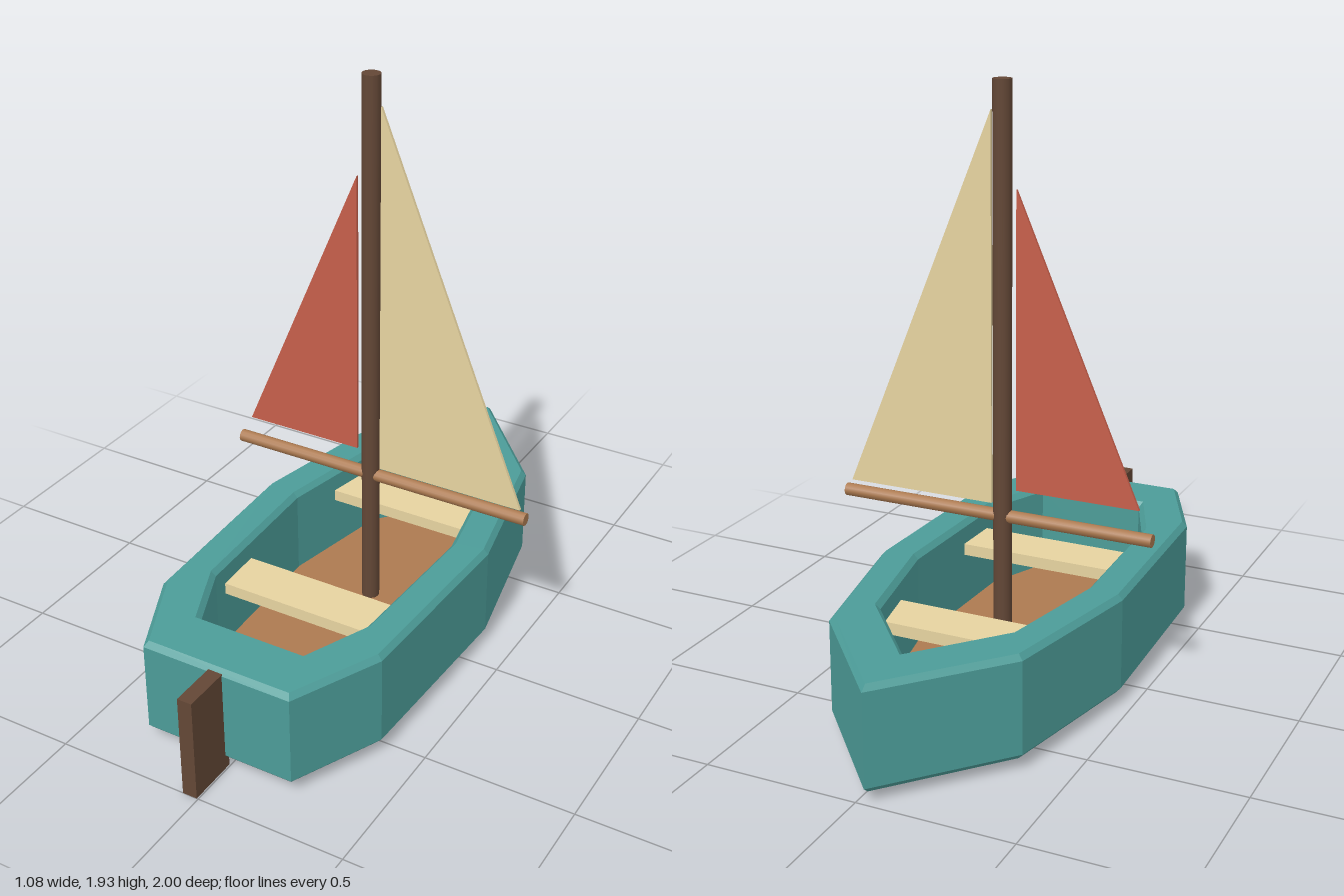
import * as THREE from 'three';

const CX = -0.03; // centreline of the boat
const MAST_Z = -0.09;

const paint = (color, flatShading = true) => new THREE.MeshStandardMaterial({ color, flatShading });
const teal = paint(0x4c9c98);
const wood = paint(0xac7a50);
const darkWood = paint(0x634736);
const cream = paint(0xe6d3a0);
const red = paint(0xc65f4b);
const roundWood = paint(0xac7a50, false);
const roundDarkWood = paint(0x634736, false);

// Mirrored outline from [halfWidth, z] points, bow first, stern last, counter-clockwise
function outline(half, Type = THREE.Shape) {
  const left = half.map(([w, z]) => new THREE.Vector2(-w, -z));
  const right = half.slice(1).reverse().map(([w, z]) => new THREE.Vector2(w, -z));
  return new Type([...left, ...right]);
}

export function createModel() {
  const boat = new THREE.Group();
  boat.name = 'sailboat';

  function add(name, geometry, material, x, y, z) {
    const mesh = new THREE.Mesh(geometry, material);
    mesh.name = name;
    mesh.position.set(x, y, z);
    boat.add(mesh);
  }

  // Hull: bevelled ring around an open well
  const outer = [[0, -0.979], [0.306, -0.628], [0.41, -0.12], [0.385, 0.54], [0.25, 0.828]];
  const inner = [[0, -0.78], [0.236, -0.505], [0.316, -0.105], [0.295, 0.43], [0.196, 0.66]];
  const hullShape = outline(outer);
  hullShape.holes.push(outline(inner, THREE.Path));
  const hull = new THREE.ExtrudeGeometry(hullShape, {
    depth: 0.3, bevelEnabled: true, bevelSize: 0.016, bevelThickness: 0.018, bevelSegments: 1,
  }).rotateX(-Math.PI / 2);
  add('hull', hull, teal, CX, 0.05, 0);

  // Floor board closing the well
  const floor = new THREE.ExtrudeGeometry(outline(inner), { depth: 0.015, bevelEnabled: false });
  add('floor', floor.rotateX(-Math.PI / 2), wood, CX, 0.05, 0);

  // Bench seats, ends set into the hull walls
  add('frontSeat', new THREE.BoxGeometry(0.54, 0.04, 0.165), cream, CX, 0.27, -0.375);
  add('rearSeat', new THREE.BoxGeometry(0.58, 0.04, 0.165), cream, CX, 0.27, 0.292);

  // Rudder behind the stern
  add('rudder', new THREE.BoxGeometry(0.05, 0.355, 0.175), darkWood, CX, 0.1775, 0.9125);

  // Mast and boom
  add('mast', new THREE.CylinderGeometry(0.03, 0.03, 1.87, 12), roundDarkWood, CX, 0.995, MAST_Z);
  const boom = new THREE.CylinderGeometry(0.021, 0.021, 1.075, 12).rotateZ(Math.PI / 2);
  add('boom', boom, roundWood, 0, 0.55, MAST_Z);

  // Triangular sails: upright luff beside the mast, foot above the boom
  function sail(name, material, luffX, clewX, footY, headY) {
    const shape = new THREE.Shape([
      new THREE.Vector2(luffX, footY),
      new THREE.Vector2(clewX, footY),
      new THREE.Vector2(luffX, headY),
    ]);
    const geometry = new THREE.ExtrudeGeometry(shape, { depth: 0.01, bevelEnabled: false });
    add(name, geometry, material, 0, 0, MAST_Z + 0.002);
  }
  sail('mainSail', cream, 0.01, 0.52, 0.585, 1.835);
  sail('jibSail', red, -0.075, -0.49, 0.64, 1.6);

  return boat;
}
